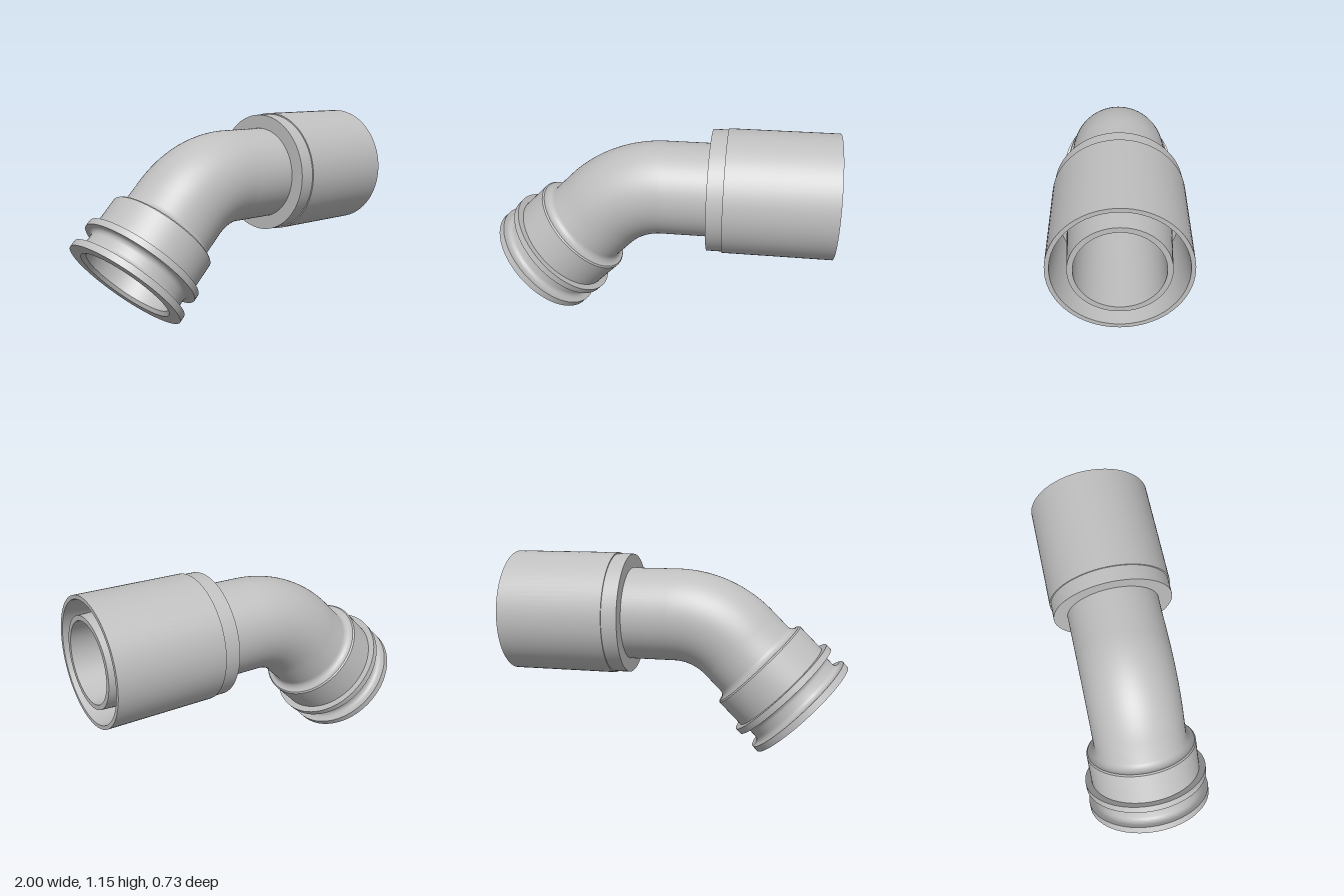
import * as THREE from 'three';
import { toCreasedNormals } from 'three/addons/utils/BufferGeometryUtils.js';

const AXIS_Y = 0.7915;   // height of the straight pipe's axis
const BEND_X = 0.01;     // where the bend begins
const BEND_R = 0.53;     // centreline radius of the bend
const OUTER = 0.273, BORE = 0.227;

// Quarter-round points from angle a to b about (r, y)
function fillet(r, y, radius, a, b, n = 6) {
  return Array.from({ length: n + 1 }, (_, i) => {
    const t = THREE.MathUtils.degToRad(a + (b - a) * i / n);
    return [r + radius * Math.cos(t), y + radius * Math.sin(t)];
  });
}

export function createModel() {
  const group = new THREE.Group();
  const grey = new THREE.MeshStandardMaterial({ color: 0xbfbfbf, side: THREE.DoubleSide });
  grey.name = 'grey';

  const add = (name, geometry, x, y) => {
    const mesh = new THREE.Mesh(geometry, grey);
    mesh.name = name;
    mesh.position.set(x, y, 0);
    group.add(mesh);
  };

  // Turned part: profile of [radius, distance along axis], axis tilted in the xy plane
  const turned = (name, profile, tilt, x, y) => {
    const points = profile.map(([r, d]) => new THREE.Vector2(r, d));
    const lathe = new THREE.LatheGeometry(points, 80).rotateZ(tilt);
    add(name, toCreasedNormals(lathe, 0.28), x, y);
  };

  // Straight pipe with a slightly tapered nose inside the sleeve
  turned('straightPipe', [
    [OUTER, BEND_X], [OUTER, 0.6], [0.255, 1], [BORE, 1], [BORE, BEND_X],
  ], -Math.PI / 2, 0, AXIS_Y);

  // Socket sleeve with a stepped shoulder and a tapered recess
  turned('sleeve', [
    [OUTER, 0.28], [0.355, 0.28], [0.355, 0.37], [0.3625, 0.37],
    [0.3625, 1], [0.34, 1], [0.308, 0.6], [OUTER, 0.6],
  ], -Math.PI / 2, 0, AXIS_Y);

  // 45 degree bend: outer wall and bore
  for (const [name, radius] of [['bendOuterWall', OUTER], ['bendBore', BORE]]) {
    const bend = new THREE.TorusGeometry(BEND_R, radius, 80, 40, Math.PI / 4).rotateZ(Math.PI / 2);
    add(name, bend, BEND_X, AXIS_Y - BEND_R);
  }

  // Angled end: two flanges with a rounded groove, collar, neck and widened socket
  const length = 0.537;
  const k = Math.SQRT1_2;
  const endX = BEND_X - BEND_R * k - length * k;
  const endY = AXIS_Y - BEND_R * (1 - k) - length * k;
  turned('flangedEnd', [
    [BORE, length], [BORE, 0.33], [0.27, 0.23], [0.27, 0.02], [0.29, 0],
    [0.3625, 0], [0.3625, 0.04],
    ...fillet(0.34, 0.07, 0.03, 270, 180),
    ...fillet(0.34, 0.113, 0.03, 180, 90),
    [0.3625, 0.143], [0.3625, 0.181], [0.325, 0.181], [0.325, 0.36],
    [0.317, 0.368],
    ...fillet(0.313, 0.408, 0.04, 270, 180),
    [OUTER, length],
  ], -Math.PI / 4, endX, endY);

  return group;
}
